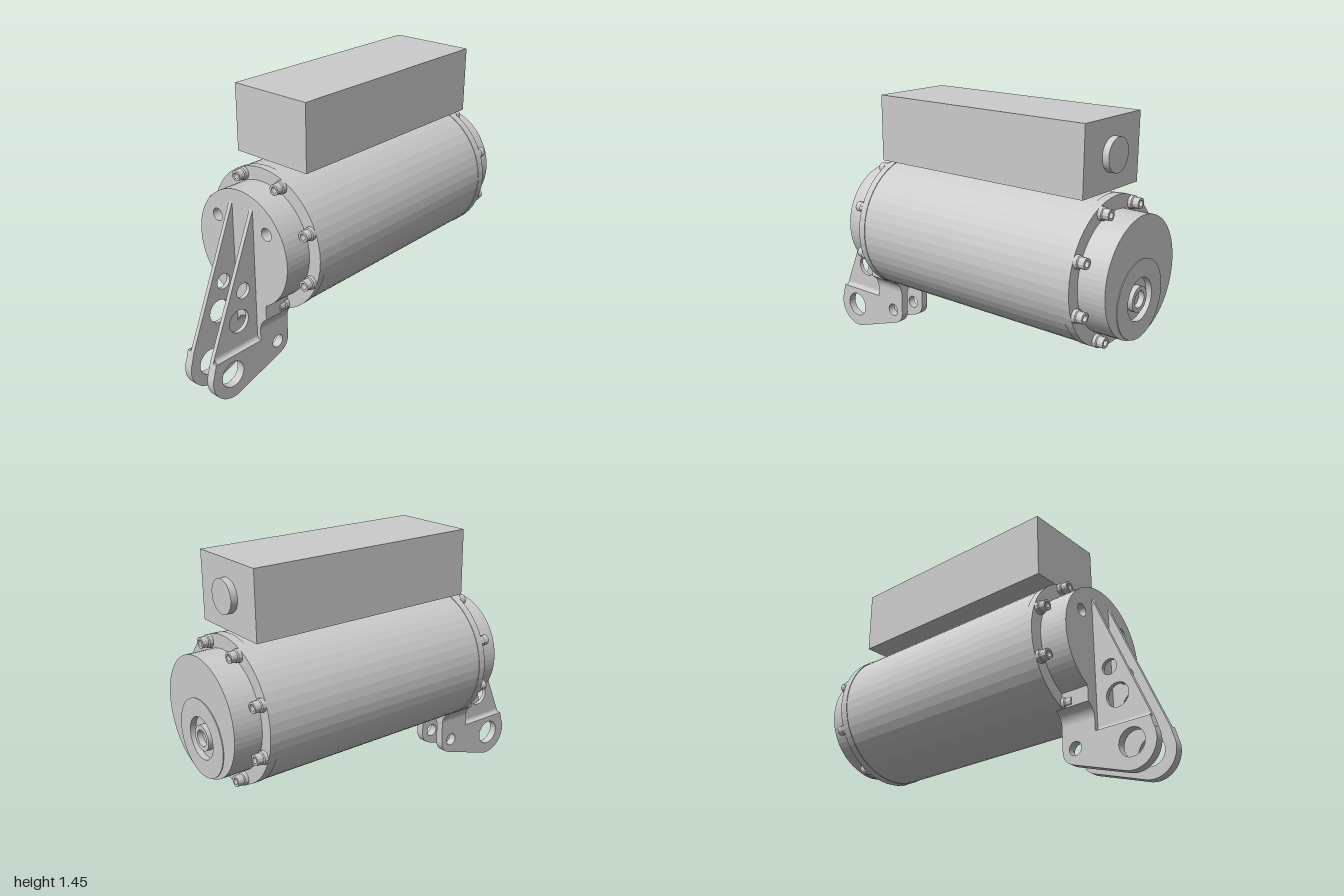
import * as THREE from 'three';

const AXIS_Y = 0.715;

export function createModel() {
  const model = new THREE.Group();
  const mat = new THREE.MeshStandardMaterial({ color: 0xcccccc, flatShading: true });

  const add = (name, geo, x = 0, y = 0, z = 0) => {
    const mesh = new THREE.Mesh(geo, mat);
    mesh.name = name;
    mesh.position.set(x, y, z);
    model.add(mesh);
    return mesh;
  };
  const disc = (y, r, z = 0) => new THREE.Shape().absarc(z, y, r, 0, Math.PI * 2, false);
  const drill = (shape, list) => {
    for (const [a, b, r] of list) shape.holes.push(new THREE.Path().absarc(a, b, r, 0, Math.PI * 2, true));
    return shape;
  };
  const extrude = (shape, depth, seg = 12) =>
    new THREE.ExtrudeGeometry(shape, { depth, bevelEnabled: false, curveSegments: seg });
  // Extrudes a cross-section (z, y) lengthwise between two x positions
  const along = (name, shape, x0, x1, seg = 24) =>
    add(name, extrude(shape, x1 - x0, seg).rotateY(Math.PI / 2), x0);

  // Main housing with end plates
  along('housing', disc(AXIS_Y, 0.372), -0.5, 0.81);
  along('endPlateRight', disc(AXIS_Y, 0.375), -0.53, -0.49);
  along('endPlateLeft', disc(AXIS_Y, 0.375), 0.80, 0.845);

  // Mounting flange with two blind holes
  along('flange', drill(disc(AXIS_Y, 0.305), [[0.17, 0.845, 0.033], [-0.17, 0.845, 0.033]]), -0.68, -0.53, 32);

  // End cap with recessed, offset shaft bushing
  const hubY = 0.607;
  along('endCap', drill(disc(AXIS_Y, 0.305), [[0, hubY, 0.108]]), 0.845, 0.992, 32);
  along('bearingCover', drill(disc(hubY, 0.2), [[0, hubY, 0.108]]), 0.98, 0.996, 32);
  along('bushingSeat', disc(hubY, 0.108), 0.845, 0.965);
  along('bushing', drill(disc(hubY, 0.065), [[0, hubY, 0.042]]), 0.96, 0.994);

  // Control box and its connector
  add('controlBox', new THREE.BoxGeometry(1.28, 0.35, 0.47), 0.17, 1.28, 0);
  along('connector', disc(1.28, 0.086), 0.80, 0.845);

  // Socket-head bolts around both ends
  const profile = [[0.034, 0], [0.034, 0.018], [0.028, 0.022], [0.028, 0.055],
    [0.016, 0.055], [0.016, 0.03], [0, 0.03]].map(([r, h]) => new THREE.Vector2(r, h));
  const bolt = new THREE.LatheGeometry(profile, 12);
  for (const [x, dir] of [[0.845, 1], [-0.53, -1]]) {
    for (let i = 0; i < 8; i++) {
      const a = (i + 0.5) * Math.PI / 4;
      const m = add('bolt', bolt, x, AXIS_Y + 0.342 * Math.sin(a), 0.342 * Math.cos(a));
      m.rotation.z = -dir * Math.PI / 2;
    }
  }

  // Arched saddle joining the two bracket plates to the flange
  const stepY = 0.235;
  const saddle = new THREE.Shape();
  saddle.moveTo(0.105, stepY);
  saddle.lineTo(0.105, 0.3);
  saddle.quadraticCurveTo(0.108, 0.345, 0.15, 0.37);
  saddle.lineTo(0.15, 0.46);
  saddle.lineTo(-0.15, 0.46);
  saddle.lineTo(-0.15, 0.37);
  saddle.quadraticCurveTo(-0.108, 0.345, -0.105, 0.3);
  saddle.lineTo(-0.105, stepY);
  saddle.lineTo(-0.06, stepY);
  saddle.lineTo(-0.06, 0.275);
  saddle.absarc(0, 0.275, 0.06, Math.PI, 0, true);
  saddle.lineTo(0.06, stepY);
  along('bracketSaddle', saddle, -0.68, -0.49, 10);

  // Thick lower bracket plate with lug
  const plate = new THREE.Shape();
  plate.moveTo(-0.49, stepY);
  plate.lineTo(-0.975, stepY);
  plate.lineTo(-0.99, 0.181);
  plate.absarc(-0.87, 0.13, 0.13, 2.74, 5.03, false);
  plate.lineTo(-0.545, 0.1);
  plate.quadraticCurveTo(-0.49, 0.12, -0.49, 0.175);
  drill(plate, [[-0.872, 0.132, 0.07], [-0.563, 0.176, 0.035]]);

  // Thin triangular web rising to the flange
  const web = new THREE.Shape();
  web.moveTo(-0.975, stepY);
  web.lineTo(-0.67, stepY);
  web.lineTo(-0.67, 0.965);
  web.lineTo(-0.68, 0.945);
  drill(web, [[-0.797, 0.391, 0.062], [-0.761, 0.545, 0.041]]);

  // Fillet strip between plate and web
  const fillet = new THREE.Shape();
  fillet.moveTo(0, 0);
  fillet.lineTo(-0.022, 0);
  fillet.quadraticCurveTo(-0.002, 0.002, 0, 0.022);

  for (const s of [1, -1]) {
    add('bracketPlate', extrude(plate, 0.045), 0, 0, s > 0 ? 0.06 : -0.105);
    add('bracketWeb', extrude(web, 0.022), 0, 0, s > 0 ? 0.06 : -0.082);
    const f = extrude(fillet, 0.285, 4).rotateY(s * Math.PI / 2);
    add('bracketFillet', f, s > 0 ? -0.965 : -0.68, stepY, s * 0.082);
  }
  return model;
}
